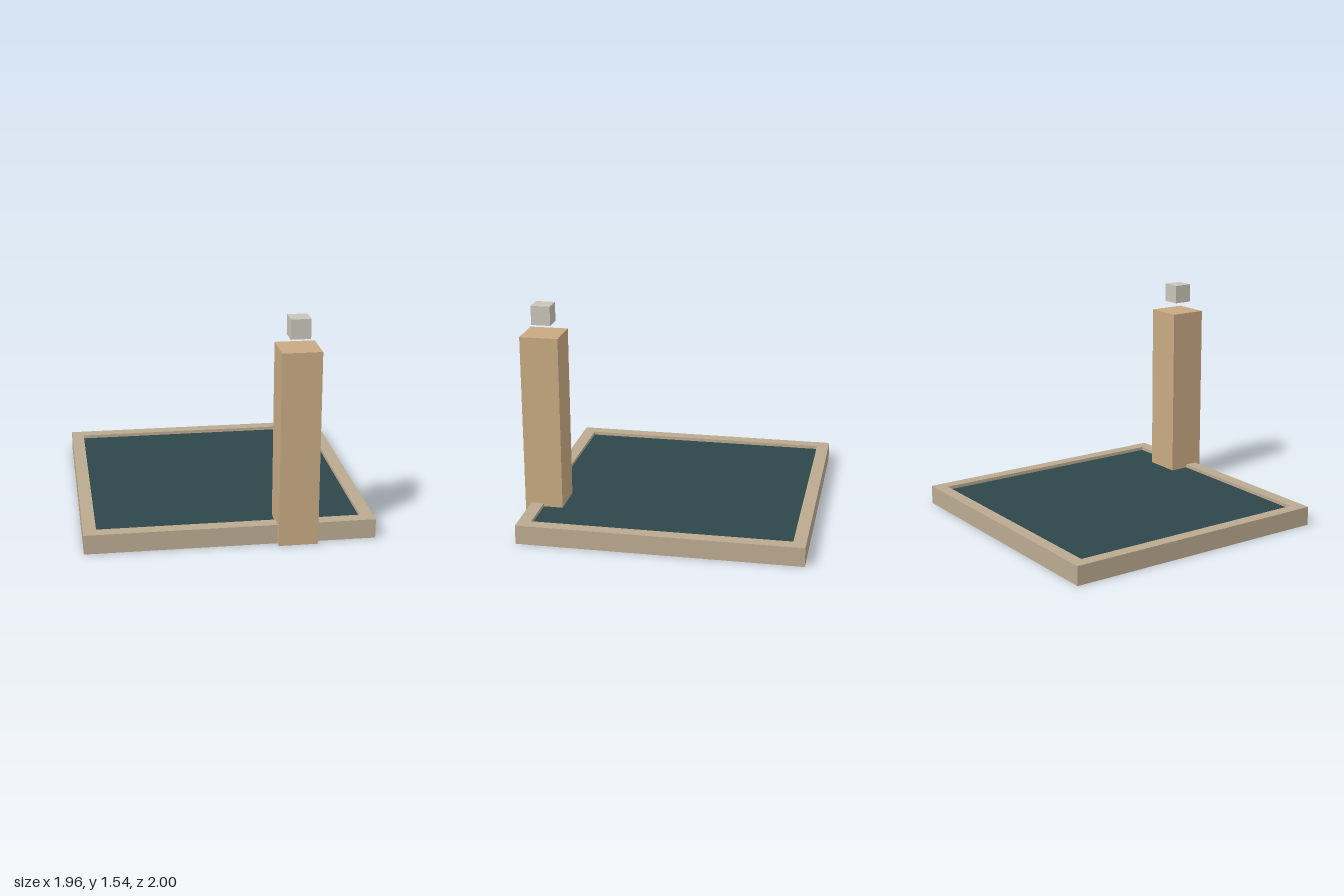
import * as THREE from 'three';

const mat = (name, color, extra = {}) => {
  const m = new THREE.MeshStandardMaterial({ color, ...extra });
  m.name = name;
  return m;
};

export function createModel() {
  const stone = mat('stone', 0xbbaa90);
  const sandstone = mat('sandstone', 0xc8aa82);
  const paleGrey = mat('paleGrey', 0xc8c4b8);
  const darkTeal = mat('darkTeal', 0x2d464b, { side: THREE.DoubleSide });

  const model = new THREE.Group();
  model.name = 'poolWithPillar';
  const add = (name, geometry, material, x, y, z) => {
    const mesh = new THREE.Mesh(geometry, material);
    mesh.name = name;
    mesh.position.set(x, y, z);
    model.add(mesh);
    return mesh;
  };

  const outer = 0.978, inner = 0.89, rimHeight = 0.134, poolZ = -0.022;
  const square = (h, Type) => new Type([
    new THREE.Vector2(-h, -h), new THREE.Vector2(h, -h),
    new THREE.Vector2(h, h), new THREE.Vector2(-h, h),
  ]);

  // Square rim, open above and below
  const rimShape = square(outer, THREE.Shape);
  rimShape.holes.push(square(inner, THREE.Path));
  const rim = new THREE.ExtrudeGeometry(rimShape, { depth: rimHeight, bevelEnabled: false });
  rim.rotateX(-Math.PI / 2);
  add('rim', rim, stone, 0, 0, poolZ);

  // Water sheet just below the top of the rim
  const water = new THREE.PlaneGeometry(inner * 2, inner * 2).rotateX(-Math.PI / 2);
  add('waterSurface', water, darkTeal, 0, 0.11, poolZ);

  // Pillar straddling the front rim, with a cube floating above it
  const px = 0.443, pz = 0.867;
  add('pillar', new THREE.BoxGeometry(0.266, 1.335, 0.266), sandstone, px, 0.6675, pz);
  add('floatingCube', new THREE.BoxGeometry(0.133, 0.133, 0.133), paleGrey, px, 1.471, pz);

  return model;
}
